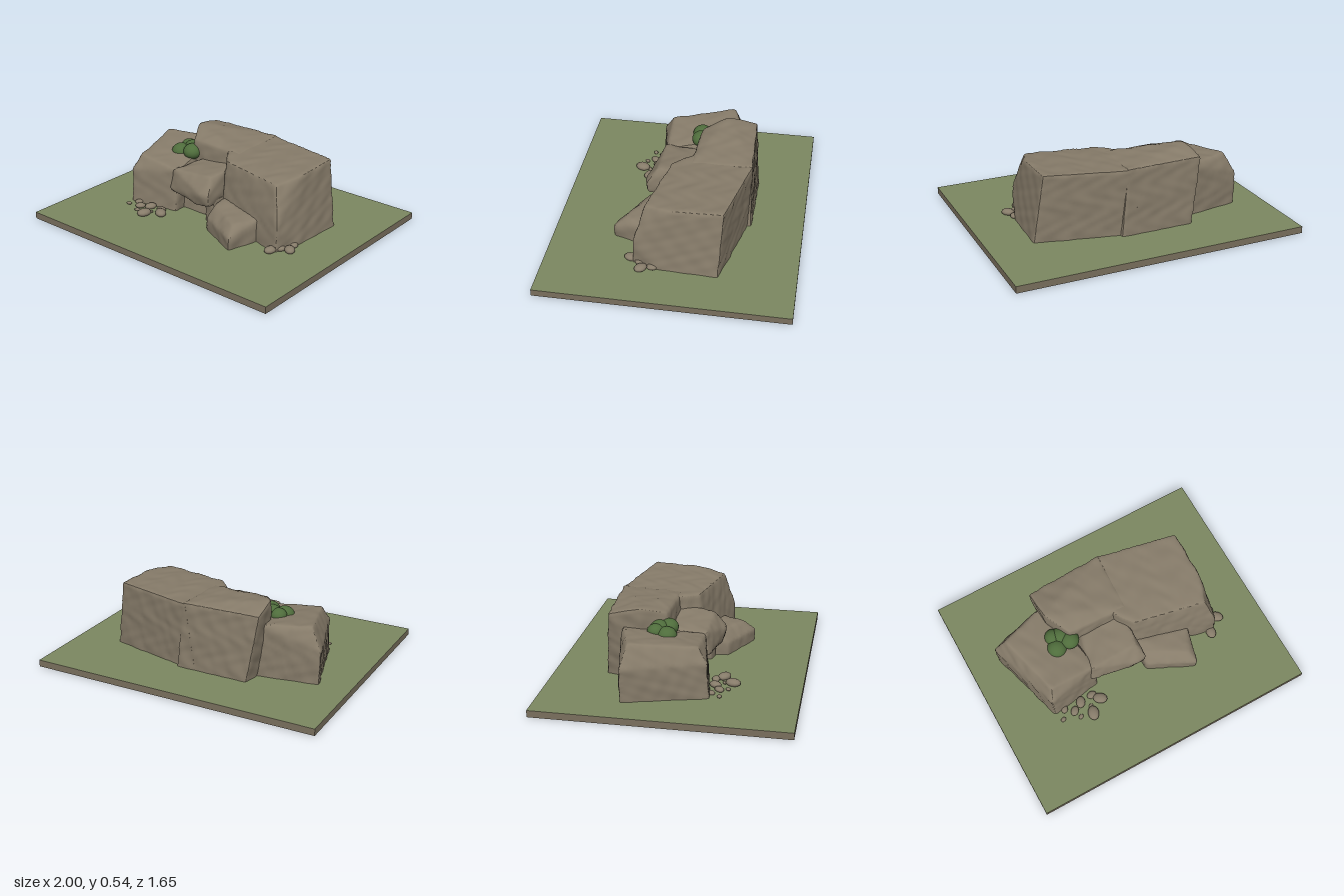
import * as THREE from 'three';
import { mergeVertices, toCreasedNormals } from 'three/addons/utils/BufferGeometryUtils.js';
import { ConvexGeometry } from 'three/addons/geometries/ConvexGeometry.js';

const material = (name, color) => {
  const m = new THREE.MeshStandardMaterial({ color });
  m.name = name;
  return m;
};

// Smooth surface ripple, roughly -1..1
const ripple = (p) =>
  0.5 * Math.sin(p.x * 31 + 2 * Math.sin(p.y * 23 + p.z * 9)) * Math.sin(p.y * 38 + p.z * 17) +
  0.5 * Math.sin(p.z * 41 + 2 * Math.sin(p.x * 27)) * Math.cos(p.x * 22 - p.y * 29);

// Split the longest edge at its midpoint until every edge is short
function split(a, b, c, max, out) {
  const ab = a.distanceTo(b), bc = b.distanceTo(c), ca = c.distanceTo(a);
  const longest = Math.max(ab, bc, ca);
  if (longest <= max) {
    out.push(a, b, c);
  } else if (ab === longest) {
    const m = a.clone().add(b).multiplyScalar(0.5);
    split(a, m, c, max, out);
    split(m, b, c, max, out);
  } else if (bc === longest) {
    split(b, c, a, max, out);
  } else {
    split(c, a, b, max, out);
  }
}

// Weathered boulder: hull of corner points, subdivided, softened and rippled
function boulder(corners, max = 0.03, amount = 0.005, rounds = 2) {
  const hull = new ConvexGeometry(corners.map((c) => new THREE.Vector3(...c))).getAttribute('position');
  const tris = [];
  const at = (i) => new THREE.Vector3().fromBufferAttribute(hull, i);
  for (let i = 0; i < hull.count; i += 3) split(at(i), at(i + 1), at(i + 2), max, tris);
  const geo = mergeVertices(new THREE.BufferGeometry().setFromPoints(tris), 1e-5);
  const pos = geo.getAttribute('position'), index = geo.index;

  // Average neighbours to soften the edges
  const near = Array.from({ length: pos.count }, () => new Set());
  for (let i = 0; i < index.count; i += 3) {
    const t = [0, 1, 2].map((k) => index.getX(i + k));
    t.forEach((v) => t.forEach((w) => v !== w && near[v].add(w)));
  }
  const v = new THREE.Vector3(), n = new THREE.Vector3();
  for (let r = 0; r < rounds; r++) {
    const next = near.map((set, i) => {
      const sum = new THREE.Vector3();
      set.forEach((j) => sum.add(v.fromBufferAttribute(pos, j)));
      return sum.divideScalar(set.size).lerp(v.fromBufferAttribute(pos, i), 0.5);
    });
    next.forEach((p, i) => pos.setXYZ(i, p.x, p.y, p.z));
  }

  // Ripple along the normals
  geo.computeVertexNormals();
  const normal = geo.getAttribute('normal');
  for (let i = 0; i < pos.count; i++) {
    v.fromBufferAttribute(pos, i);
    n.fromBufferAttribute(normal, i);
    v.addScaledVector(n, amount * ripple(v));
    pos.setXYZ(i, v.x, v.y, v.z);
  }
  geo.deleteAttribute('normal');
  return toCreasedNormals(geo, 0.7);
}

const floor = (points) => points.map(([x, z]) => [x, 0.01, z]);

export function createModel() {
  const model = new THREE.Group();
  const rock = material('rock', 0x877c6a);
  const grass = material('grass', 0x7d8861);
  const earth = material('earth', 0x7a705e);
  const leaf = material('leaf', 0x4f6d3c);

  const add = (name, geometry, mat, parent = model) => {
    const mesh = new THREE.Mesh(geometry, mat);
    mesh.name = name;
    parent.add(mesh);
    return mesh;
  };

  // Ground slab, grass on top and earth on the other faces
  add('groundSlab', new THREE.BoxGeometry(2, 0.046, 1.65), [earth, earth, grass, earth, earth, earth])
    .position.y = 0.023;

  // Large boulders
  const blocks = {
    leftBoulder: [
      ...floor([[-0.79, -0.29], [-0.3, -0.37], [-0.27, 0.2], [-0.63, 0.26]]),
      [-0.8, 0.27, -0.29], [-0.72, 0.42, -0.25], [-0.38, 0.41, -0.36],
      [-0.26, 0.34, 0.17], [-0.6, 0.38, 0.18], [-0.63, 0.28, 0.24],
    ],
    rearBoulder: [
      ...floor([[-0.36, -0.475], [0.15, -0.475], [0.15, 0], [-0.3, -0.05], [-0.41, -0.2]]),
      [-0.44, 0.5, -0.44], [0.1, 0.5, -0.46], [0.1, 0.485, -0.05],
      [-0.01, 0.47, -0.07], [-0.33, 0.49, -0.07], [-0.425, 0.54, -0.24],
    ],
    rightBoulder: [
      ...floor([[0, -0.48], [0.705, -0.32], [0.69, 0.05], [0.625, 0.25], [0.07, 0.13], [0, -0.1]]),
      [0.08, 0.495, -0.465], [0.635, 0.505, -0.345], [0.63, 0.49, 0],
      [0.57, 0.47, 0.17], [0.08, 0.475, 0.07], [-0.02, 0.485, -0.07], [0.64, 0.2, 0.245],
    ],
    lintelBoulder: [
      [-0.32, 0.2, 0.2], [0, 0.18, 0.25], [0.07, 0.19, 0.25], [0.07, 0.2, -0.1], [-0.32, 0.2, -0.1],
      [-0.3, 0.35, 0.18], [-0.25, 0.36, -0.08], [0.04, 0.4, -0.1],
      [0.06, 0.39, 0.1], [0.04, 0.38, 0.18], [0.08, 0.27, 0.26], [0.02, 0.27, 0.27],
    ],
    frontBoulder: [
      ...floor([[0.06, 0.1], [0.07, 0.27], [0.38, 0.42], [0.46, 0.16]]),
      [0.08, 0.225, 0.1], [0.09, 0.21, 0.2], [0.36, 0.195, 0.35],
      [0.445, 0.2, 0.18], [0.39, 0.13, 0.425], [0.07, 0.13, 0.27],
    ],
    nicheWall: [
      ...floor([[-0.32, -0.1], [-0.32, 0.11], [0.1, 0.11], [0.1, -0.1]]),
      [-0.32, 0.23, -0.1], [-0.32, 0.23, 0.09], [0.1, 0.23, 0.09], [0.1, 0.23, -0.1],
    ],
    nichePost: [
      ...floor([[-0.03, 0.05], [-0.02, 0.17], [0.06, 0.19], [0.09, 0.05]]),
      [-0.03, 0.23, 0.05], [-0.02, 0.23, 0.18], [0.07, 0.23, 0.19], [0.09, 0.23, 0.05],
    ],
  };
  for (const [name, corners] of Object.entries(blocks)) add(name, boulder(corners), rock);

  // Bush nestled on the left boulder: x, y, z, radius
  const bush = new THREE.Group();
  bush.name = 'bush';
  model.add(bush);
  [
    [-0.435, 0.375, -0.055, 0.066], [-0.335, 0.395, -0.06, 0.064],
    [-0.425, 0.395, -0.13, 0.056], [-0.375, 0.4, -0.115, 0.06],
  ].forEach(([x, y, z, r]) => {
    const lobe = add('bushLobe', new THREE.SphereGeometry(r, 24, 16), leaf, bush);
    lobe.position.set(x, y, z);
    lobe.scale.y = 0.85;
  });

  // Pebbles at both front corners: x, z, half length, turn
  const pebbles = new THREE.Group();
  pebbles.name = 'pebbles';
  model.add(pebbles);
  [
    [-0.6, 0.315, 0.02, 0.3], [-0.56, 0.255, 0.03, 1], [-0.505, 0.3, 0.036, 0.8],
    [-0.485, 0.355, 0.02, 0.6], [-0.4, 0.375, 0.052, 1.3], [-0.31, 0.305, 0.05, -0.6],
    [-0.39, 0.32, 0.018, 0.4], [-0.35, 0.255, 0.035, 0.1], [-0.44, 0.265, 0.042, 1.1],
    [0.6, 0.26, 0.046, 1.4], [0.695, 0.18, 0.046, -0.8], [0.675, 0.11, 0.035, 1.5],
    [0.63, 0.2, 0.04, 0.5],
  ].forEach(([x, z, r, turn]) => {
    const pebble = add('pebble', new THREE.SphereGeometry(r, 12, 8), rock, pebbles);
    pebble.position.set(x, 0.046 + r * 0.3, z);
    pebble.scale.set(1, 0.5, 0.75);
    pebble.rotation.y = turn;
  });

  return model;
}
